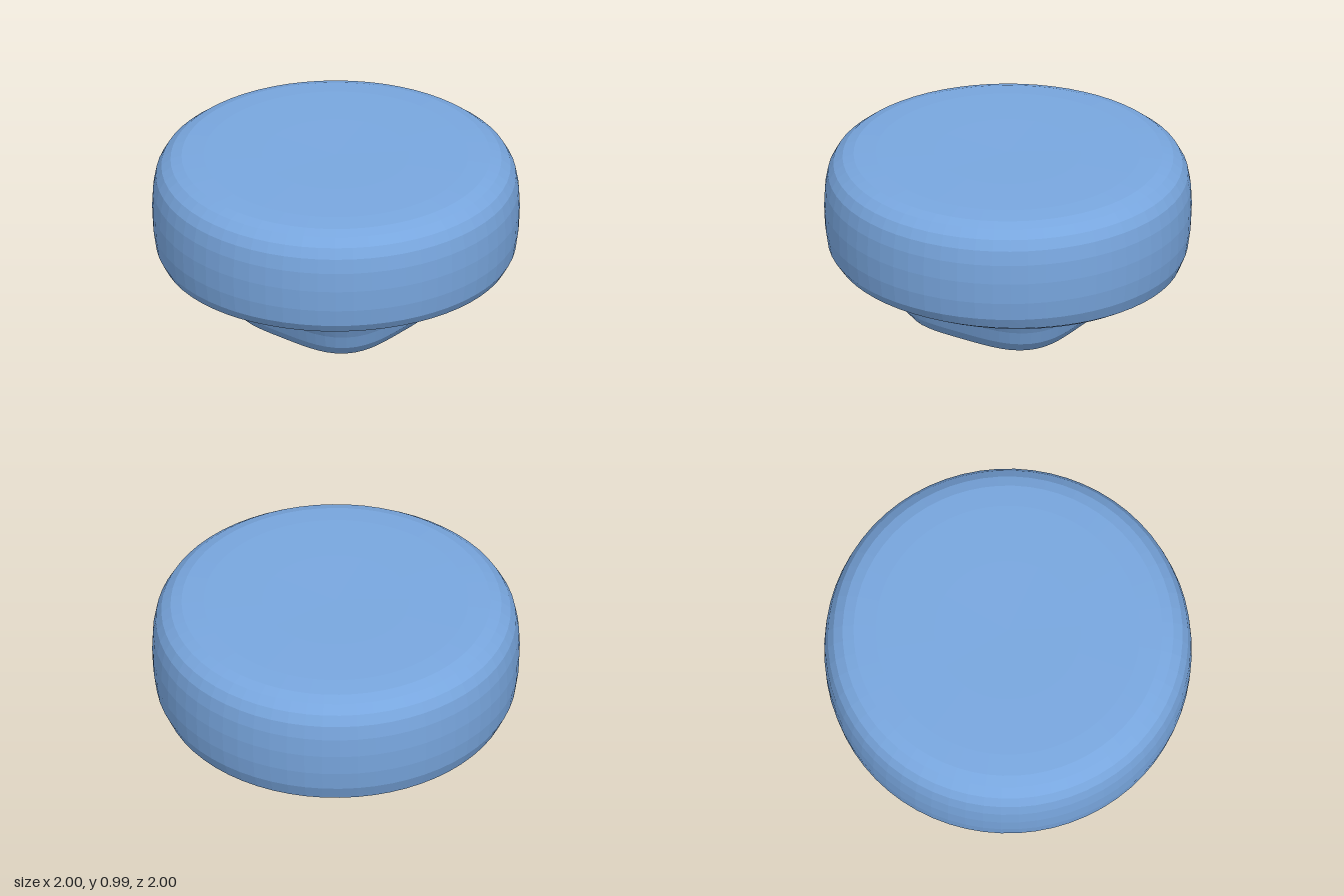
import * as THREE from 'three';

// Profile points: [half-width, height, squareness 0..1, underside tilt 0..1]
const FOOT = [
  [0, 0.005, 1, 0], [0.2, 0.005, 1, 0], [0.36, 0.015, 1, 0], [0.45, 0.045, 1, 0],
  [0.5, 0.11, 1, 0], [0.525, 0.19, 1, 0], [0.56, 0.255, 0.9, 0], [0.61, 0.3, 0.7, 0.2],
];
const CAP = [
  [0.61, 0.3, 0.7, 0.2], [0.7, 0.328, 0.4, 0.7], [0.8, 0.34, 0.15, 1], [0.89, 0.353, 0, 1],
  [0.945, 0.385, 0, 0.8], [0.98, 0.455, 0, 0.2], [0.995, 0.56, 0, 0], [1, 0.68, 0, 0],
  [0.995, 0.79, 0, 0], [0.98, 0.87, 0, 0], [0.95, 0.925, 0, 0], [0.9, 0.965, 0, 0],
  [0.84, 0.985, 0, 0], [0.72, 0.994, 0, 0], [0.4, 0.996, 0, 0], [0, 0.994, 0, 0],
];
const SIDES = 64;

// Lathe whose rings blend from circle to rounded square
function softLathe(profile) {
  const geo = new THREE.LatheGeometry(profile.map(([r, y]) => new THREE.Vector2(r, y)), SIDES);
  const pos = geo.attributes.position;
  for (let i = 0; i < pos.count; i++) {
    const [r, y, square, tilt] = profile[i % profile.length];
    const a = (Math.floor(i / profile.length) / SIDES) * Math.PI * 2;
    const s = Math.sin(a), c = Math.cos(a);
    const n = 2 + 1.6 * square;
    const k = r / Math.pow(Math.abs(s) ** n + Math.abs(c) ** n, 1 / n);
    pos.setXYZ(i, k * s, y + 0.022 * tilt * (s + c) * r, k * c);
  }
  // Separate faces give the lightly faceted finish
  const flat = geo.toNonIndexed();
  flat.computeVertexNormals();
  return flat;
}

export function createModel() {
  const group = new THREE.Group();
  group.name = 'knob';
  const blue = new THREE.MeshStandardMaterial({ color: 0x78a6de });
  blue.name = 'softBlue';

  // Rounded-square foot below, thick round cap above
  for (const [name, profile] of [['foot', FOOT], ['cap', CAP]]) {
    const mesh = new THREE.Mesh(softLathe(profile), blue);
    mesh.name = name;
    group.add(mesh);
  }
  return group;
}
